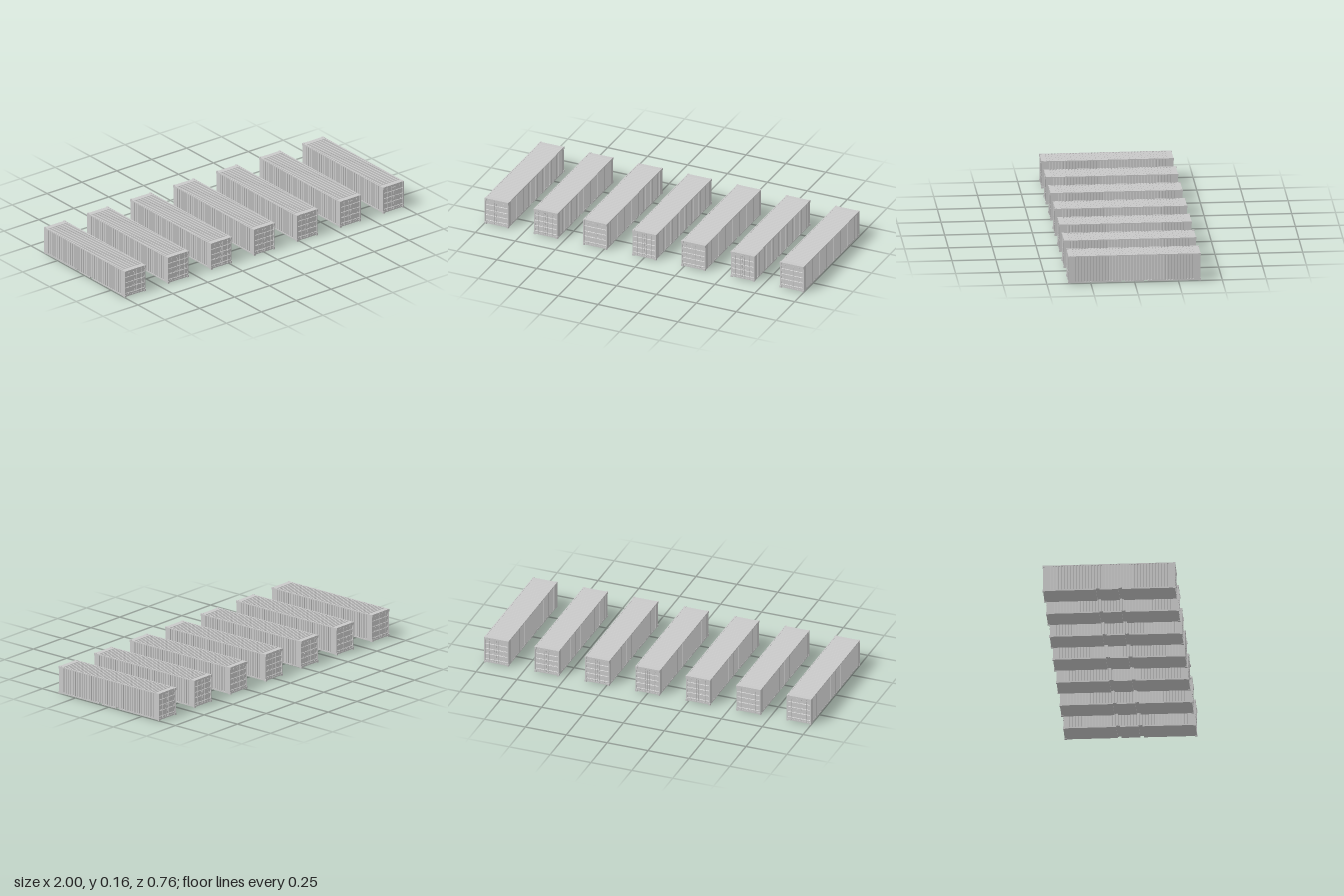
import * as THREE from 'three';

const HALF_W = 0.0745, HALF_L = 0.376;

// Zigzag points along u from -span to span: v = high, dipping to low in n trapezoid grooves
function corrugation(span, n, high, low, slope) {
  const pitch = (2 * span) / n, pts = [];
  for (let i = 0; i < n; i++) {
    const a = -span + pitch * (i + 0.25), b = a + pitch * 0.5;
    pts.push([a, high], [a + slope, low], [b - slope, low], [b, high]);
  }
  return pts;
}

function extrude(points, depth) {
  const shape = new THREE.Shape(points.map(p => new THREE.Vector2(p[0], p[1])));
  return new THREE.ExtrudeGeometry(shape, { depth, bevelEnabled: false });
}

export function createModel() {
  const steel = new THREE.MeshStandardMaterial({ color: 0xc8c8c8 });
  steel.name = 'grey steel';

  const add = (group, name, geometry, x = 0, y = 0, z = 0) => {
    const mesh = new THREE.Mesh(geometry, steel);
    mesh.name = name;
    mesh.position.set(x, y, z);
    group.add(mesh);
    return mesh;
  };
  const box = (group, name, x0, x1, y0, y1, z0, z1) =>
    add(group, name, new THREE.BoxGeometry(x1 - x0, y1 - y0, z1 - z0),
      (x0 + x1) / 2, (y0 + y1) / 2, (z0 + z1) / 2);

  const container = new THREE.Group();

  // Body with vertical corrugation on both long sides
  const side = corrugation(0.344, 40, HALF_W, 0.0705, 0.0015);
  const plan = [[HALF_W, -0.37], ...side.map(([u, v]) => [v, u]), [HALF_W, 0.37],
    [-HALF_W, 0.37], ...side.map(([u, v]) => [-v, u]).reverse(), [-HALF_W, -0.37]];
  const wall = extrude(plan, 0.146);
  wall.rotateX(-Math.PI / 2);
  add(container, 'corrugatedBody', wall, 0, 0.011, 0);

  // Roof sheet with ribs running across
  const roofLine = corrugation(0.35, 40, 0.162, 0.1585, 0.0015);
  const roof = extrude([[-0.35, 0.157], [0.35, 0.157], [0.35, 0.162],
    ...roofLine.reverse(), [-0.35, 0.162]], 0.138);
  roof.rotateY(-Math.PI / 2);
  add(container, 'roofSheet', roof, 0.069, 0, 0);
  for (const s of [-1, 1]) {
    const x = s * 0.07175;
    box(container, 'topRail', x - 0.00275, x + 0.00275, 0.157, 0.162, -0.35, 0.35);
  }

  // Underside, interrupted by the two fork pockets
  for (const [z0, z1] of [[-HALF_L, -0.075], [-0.053, 0.053], [0.075, HALF_L]]) {
    box(container, 'baseFrame', -HALF_W, HALF_W, 0.003, 0.011, z0, z1);
  }

  // One end: frame, two ribbed door leaves, lock rods
  function doorEnd() {
    const end = new THREE.Group();
    end.name = 'doorEnd';
    box(end, 'roofHeader', -HALF_W, HALF_W, 0.157, 0.162, 0.35, HALF_L);
    box(end, 'doorHeader', -0.068, 0.068, 0.15, 0.157, 0.368, HALF_L);
    const ribs = corrugation(0.066, 4, 0.375, 0.3715, 0.002);
    for (const s of [-1, 1]) {
      const px = s * 0.07125;
      box(end, 'cornerPost', px - 0.00325, px + 0.00325, 0.011, 0.157, 0.368, HALF_L);
      const leaf = extrude([[0.369, -0.069], [0.375, -0.069],
        ...ribs.map(([u, v]) => [v, u]), [0.375, 0.069], [0.369, 0.069]], 0.0665);
      leaf.rotateY(-Math.PI / 2);
      // turning the profile upright leaves depth along -x
      add(end, 'doorLeaf', leaf, s * 0.03425 + 0.03325, 0.0805, 0);
      for (const x of [s * 0.012, s * 0.044]) {
        add(end, 'lockRod', new THREE.CylinderGeometry(0.0014, 0.0014, 0.146, 8), x, 0.082, 0.3765);
        for (const y of [0.018, 0.082, 0.146]) {
          box(end, 'rodBracket', x - 0.003, x + 0.003, y - 0.002, y + 0.002, 0.374, 0.3785);
        }
        box(end, 'lockHandle', Math.min(x, x + s * 0.014), Math.max(x, x + s * 0.014),
          0.062, 0.0645, 0.375, 0.378);
      }
    }
    return end;
  }
  // Leaf profiles are drawn in (z, y); rotateY(-90) maps profile x to +z
  const front = doorEnd(), back = doorEnd();
  back.rotation.y = Math.PI;
  container.add(front, back);

  // Corner castings
  for (const sx of [-1, 1]) for (const sz of [-1, 1]) for (const y of [0.007, 0.156]) {
    add(container, 'cornerCasting', new THREE.BoxGeometry(0.012, 0.014, 0.014),
      sx * 0.069, y, sz * 0.372);
  }

  // Row of seven equal containers
  const model = new THREE.Group();
  model.name = 'containerRow';
  for (let i = -3; i <= 3; i++) {
    const copy = container.clone();
    copy.name = 'container';
    copy.position.x = (i * 0.925) / 3;
    model.add(copy);
  }
  return model;
}
